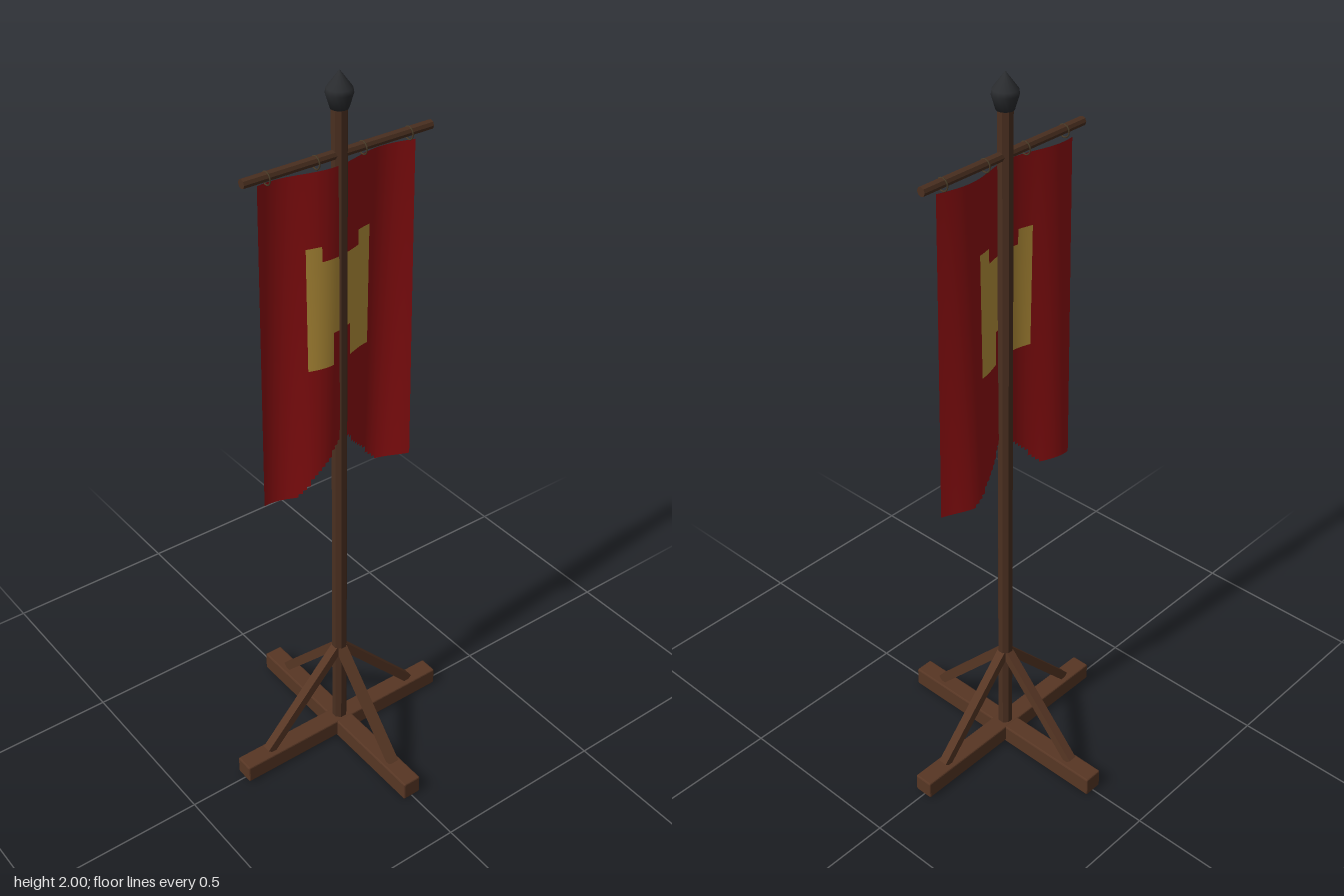
import * as THREE from 'three';
import { RoundedBoxGeometry } from 'three/addons/geometries/RoundedBoxGeometry.js';

const mat = (name, color, extra = {}) => {
  const m = new THREE.MeshStandardMaterial({ color, ...extra });
  m.name = name;
  return m;
};

export function createModel() {
  const root = new THREE.Group();
  root.name = 'standingBanner';

  const wood = mat('wood', 0x573624, { flatShading: true });
  const poleWood = mat('darkWood', 0x4a2f20, { flatShading: true });
  const iron = mat('iron', 0x2a2c2f);
  const rope = mat('rope', 0x4a3c28);
  const red = mat('redCloth', 0x8e0f11, { side: THREE.DoubleSide });
  const gold = mat('goldCloth', 0xb8923a, { side: THREE.DoubleSide });

  const add = (name, geometry, material, x = 0, y = 0, z = 0, parent = root) => {
    const mesh = new THREE.Mesh(geometry, material);
    mesh.name = name;
    mesh.position.set(x, y, z);
    parent.add(mesh);
    return mesh;
  };

  // Crossed foot beams, one a hair higher than the other
  add('footBeamSide', new RoundedBoxGeometry(0.667, 0.052, 0.054, 1, 0.004), wood, 0, 0.032, 0);
  add('footBeamFront', new RoundedBoxGeometry(0.054, 0.056, 0.667, 1, 0.004), wood, 0, 0.03, 0);
  root.children[0].position.y = 0.031;
  root.children[1].position.y = 0.028;

  // Four diagonal braces from the feet to the pole
  const foot = new THREE.Vector2(0.247, 0.058), head = new THREE.Vector2(0.008, 0.314);
  const run = head.clone().sub(foot);
  for (let i = 0; i < 4; i++) {
    const pivot = new THREE.Group();
    pivot.name = 'brace' + (i + 1);
    pivot.rotation.y = i * Math.PI / 2;
    const bar = add('braceBar', new THREE.BoxGeometry(run.length(), 0.025, 0.025), wood,
      (foot.x + head.x) / 2, (foot.y + head.y) / 2, 0, pivot);
    bar.rotation.z = Math.atan2(run.y, run.x);
    root.add(pivot);
  }

  // Upright pole
  const pole = add('pole', new THREE.CylinderGeometry(0.02, 0.021, 1.89, 8), poleWood, 0, 0.975, 0);
  pole.rotation.y = Math.PI / 8;

  // Spear-like finial
  const tip = [[0, 1.912], [0.022, 1.912], [0.033, 1.948], [0.031, 1.96], [0.001, 2]]
    .map(([x, y]) => new THREE.Vector2(x, y));
  add('finial', new THREE.LatheGeometry(tip, 14), iron);

  // Crossbar with tie rings
  const bar = add('crossbar', new THREE.CylinderGeometry(0.012, 0.012, 0.536, 8), poleWood, 0, 1.803, 0);
  bar.rotation.set(0, 0, Math.PI / 2);
  for (const x of [-0.202, -0.067, 0.067, 0.202]) {
    const ring = add('tieRing', new THREE.TorusGeometry(0.016, 0.002, 5, 14), rope, x, 1.798, 0);
    ring.rotation.y = Math.PI / 2;
  }

  // Rippled cloth: one grid, cells sorted into field, emblem or cut-away tail
  const nx = 44, ny = 89, cell = 0.01, top = 1.78;
  const cloth = new THREE.PlaneGeometry(nx * cell, ny * cell, nx, ny);
  cloth.translate(0, top - ny * cell / 2, 0);
  const p = cloth.attributes.position;
  for (let i = 0; i < p.count; i++) {
    const t = (top - p.getY(i)) / (ny * cell);
    p.setZ(i, (0.014 + 0.009 * t) * Math.sin(20 * p.getX(i) - 4.17 + 0.5 * t));
  }
  cloth.computeVertexNormals();

  const isCut = (x, y) => y < 0.89 + 0.14 * Math.min(1, (0.135 - x) / 0.12);
  const isEmblem = (x, y) => {
    const wall = x < 0.105 && y > 1.26 && y < (x > 0.06 ? 1.59 : 1.55);
    const door = x < 0.03 && y < 1.35;
    return wall && !door;
  };
  const source = cloth.index.array, field = [], emblem = [];
  for (let r = 0; r < ny; r++) {
    for (let c = 0; c < nx; c++) {
      const x = Math.abs((c + 0.5 - nx / 2) * cell), y = top - (r + 0.5) * cell;
      if (isCut(x, y)) continue;
      const start = (r * nx + c) * 6;
      (isEmblem(x, y) ? emblem : field).push(...source.slice(start, start + 6));
    }
  }
  cloth.setIndex([...field, ...emblem]);
  cloth.clearGroups();
  cloth.addGroup(0, field.length, 0);
  cloth.addGroup(field.length, emblem.length, 1);
  add('bannerCloth', cloth, [red, gold]);

  return root;
}
